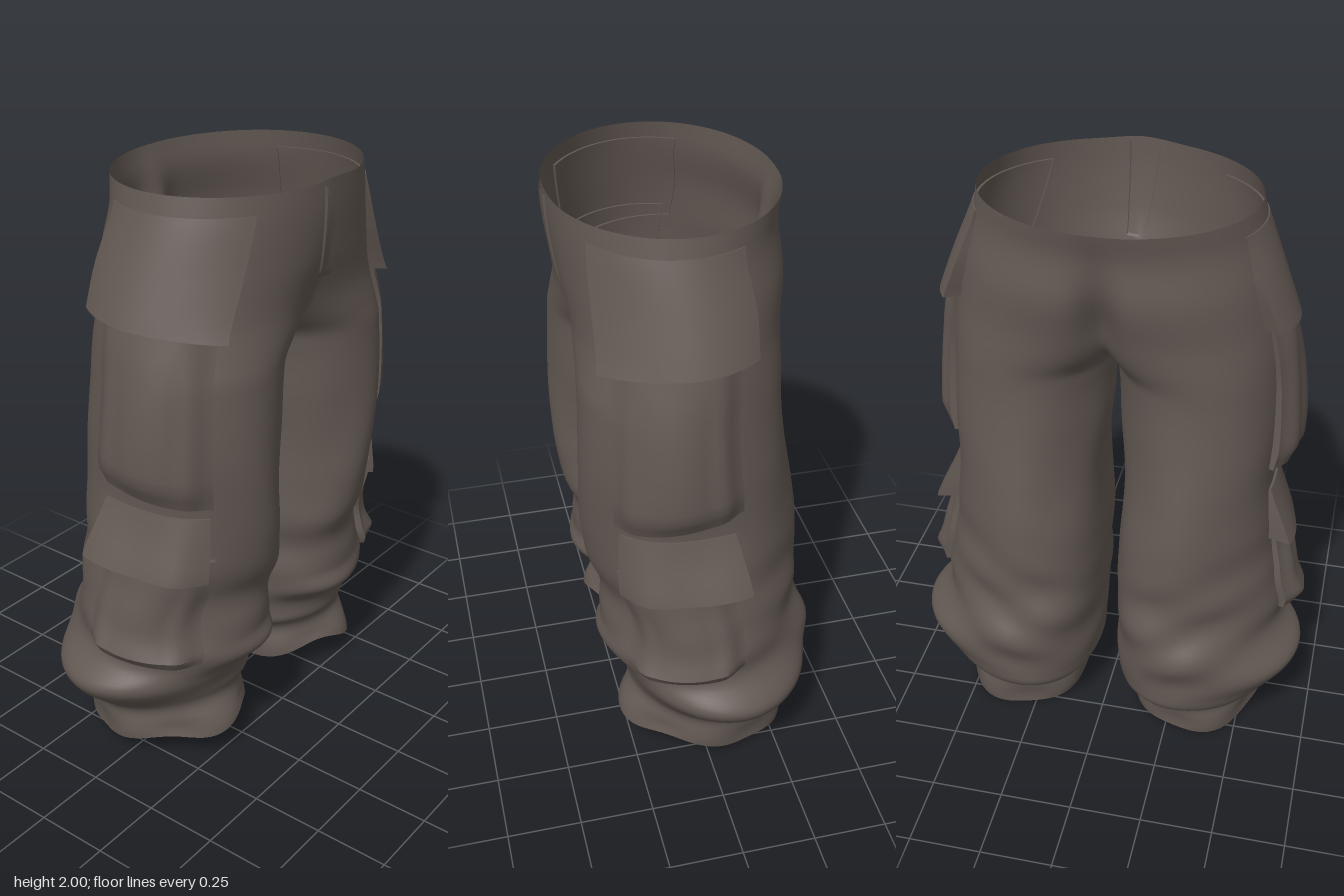
import * as THREE from 'three';
import { mergeVertices, toCreasedNormals } from 'three/addons/utils/BufferGeometryUtils.js';

// Leg sections from hem to waist: y, outer x, inner x, front z, back z.
// A negative inner x means the two halves join at the centre seam.
const SECTIONS = [
  [0, 0.57, 0.085, 0.275, -0.31],
  [0.07, 0.57, 0.08, 0.255, -0.315],
  [0.13, 0.575, 0.075, 0.235, -0.325],
  [0.17, 0.615, 0.04, 0.245, -0.375],
  [0.23, 0.67, 0.035, 0.25, -0.39],
  [0.3, 0.695, 0.03, 0.275, -0.4],
  [0.38, 0.65, 0.03, 0.33, -0.41],
  [0.48, 0.615, 0.03, 0.335, -0.39],
  [0.59, 0.6, 0.025, 0.305, -0.37],
  [0.72, 0.58, 0.025, 0.35, -0.365],
  [0.85, 0.565, 0.035, 0.37, -0.36],
  [1.0, 0.555, 0.04, 0.378, -0.335],
  [1.2, 0.565, 0.02, 0.378, -0.3],
  [1.38, 0.56, 0.006, 0.372, -0.28],
  [1.44, 0.555, -0.01, 0.37, -0.28],
  [1.5, 0.55, -0.08, 0.365, -0.285],
  [1.6, 0.535, -0.2, 0.36, -0.293],
  [1.75, 0.505, -0.35, 0.382, -0.32],
  [1.9, 0.47, -0.43, 0.4, -0.313],
  [1.988, 0.45, -0.45, 0.405, -0.33],
];
const TOP = 1.988, ROWS = 130, COLS = 72;
const sampler = new THREE.CubicInterpolant(
  SECTIONS.map((s) => s[0]), SECTIONS.flatMap((s) => s.slice(1)), 4, new Float32Array(4));

function section(y) {
  const [outer, inner, front, back] = sampler.evaluate(y);
  return { cx: (outer + inner) / 2, rx: (outer - inner) / 2, cz: (front + back) / 2, rz: (front - back) / 2, joined: inner < 0 };
}

const bell = (v, mid, width) => Math.exp(-(((v - mid) / width) ** 2));
const ramp = (v, from, to) => THREE.MathUtils.smoothstep(v, from, to);

// Cloth folds: broad, slanted ones around the shin and faint ones on the thigh
function folds(a, y) {
  const c = Math.cos(a), s = Math.sin(a);
  const shin = bell(y, 0.46, 0.24) * (c < 0 ? 1 - 0.75 * c * c : 1);
  return shin * (0.009 * Math.sin(21 * y + 2.8 * c + 1.6 * s) + 0.007 * Math.sin(34 * y - 3.4 * c + 2 * s * c + 1))
    + 0.004 * bell(y, 1.0, 0.35) * Math.sin(6 * a + 5 * y)
    + 0.012 * bell(y, 0.03, 0.06) * Math.sin(5 * a + 1);
}

// Point on the left leg at angle a (0 = outside, PI/2 = front) and height y
function legPoint(a, y, lift = 0) {
  const { cx, rx, cz, rz } = section(y);
  const r = folds(a, y) + lift;
  const c = Math.cos(a), s = Math.sin(a);
  // Shin and calf swell towards the inside
  const swell = 0.06 * s * s * (1 - ramp(y, 0.6, 1.2)) * ramp(y, 0.08, 0.25);
  const x = cx + rx * c + r * c - swell;
  const z = cz + rz * s + r * s;
  // The lower leg rides up at the front
  const rise = 0.1 * Math.max(0, z + 0.31) / 0.6 * THREE.MathUtils.clamp((0.5 - y) / 0.35, 0, 1);
  const hem = 0.014 * bell(y, 0, 0.06) * (1 + Math.sin(4 * a)) * Math.max(0, s + 0.5);
  return [x, y + rise + hem, z];
}

// Grid of points; f(u, v, j, i) runs u across and v upward, once for each side
function gridGeometry(f, nu, nv, sides) {
  const pos = [], index = [];
  for (const side of sides) {
    const base = pos.length / 3;
    for (let i = 0; i <= nv; i++) {
      for (let j = 0; j <= nu; j++) {
        const [x, y, z] = f(j / nu, i / nv, j, i);
        pos.push(side * x, y, z);
      }
    }
    for (let i = 0; i < nv; i++) {
      for (let j = 0; j < nu; j++) {
        const a = base + i * (nu + 1) + j, b = a + nu + 1;
        if (side > 0) index.push(a, b, b + 1, a, b + 1, a + 1);
        else index.push(a, b + 1, b, a, a + 1, b + 1);
      }
    }
  }
  const g = new THREE.BufferGeometry();
  g.setAttribute('position', new THREE.Float32BufferAttribute(pos, 3));
  g.setIndex(index);
  return g;
}

// Both legs and the seat in one smooth cloth surface
function trousers() {
  const f = (u, v, j) => {
    const y = v * TOP;
    const { cx, rx, cz, joined } = section(y);
    const limit = joined ? Math.acos(Math.max(-1, -cx / rx)) : Math.PI;
    const a = (2 * u - 1) * limit;
    const p = legPoint(a, y);
    p[0] = Math.max(joined ? 0 : 0.006, p[0]);
    if (joined && (j === 0 || j === COLS)) {
      p[0] = 0;
      // Close the seam at the crotch
      if (!section(y - TOP / ROWS).joined) p[2] = cz;
    }
    // Crease down the seat and a slight peak at the front of the waist
    if (a < 0) p[2] += 0.06 * bell(p[0], 0, 0.06) * bell(y, 1.66, 0.18);
    else p[1] += 0.012 * bell(p[0], 0, 0.1) * bell(y, TOP, 0.05);
    return p;
  };
  const g = mergeVertices(gridGeometry(f, COLS, ROWS, [1, -1]), 1e-4);
  g.computeVertexNormals();
  return g;
}

// Raised cloth panel on the outside of the leg with edges that tuck into it
function panel({ back, front, bottom, top, slant, lift }, side) {
  const nu = 24, nv = 20;
  const f = (u, v, j, i) => {
    const edge = j === 0 || j === nu || i === 0 || i === nv;
    const uu = THREE.MathUtils.clamp((j - 1) / (nu - 2), 0, 1);
    const vv = THREE.MathUtils.clamp((i - 1) / (nv - 2), 0, 1);
    const a = THREE.MathUtils.lerp(back, front, uu);
    const y = THREE.MathUtils.lerp(bottom - slant * uu, top, vv);
    return legPoint(a, y, edge ? -0.008 : lift(uu, vv));
  };
  return toCreasedNormals(gridGeometry(f, nu, nv, [side]), 0.75);
}

const pleats = (u) => 0.01 * (bell(u, 0.5, 0.16) - bell(u, 0.26, 0.07) - bell(u, 0.74, 0.07));
// Pockets are puffy: thinner towards their side and bottom edges
const puff = (u, v) => (0.35 + 0.65 * ramp(u, 0, 0.22) * (1 - ramp(u, 0.75, 1))) * (0.6 + 0.4 * ramp(v, 0, 0.12));
const PANELS = {
  upperPocketFlap: {
    back: -0.45, front: 0.9, bottom: 1.62, top: 1.93, slant: 0.045,
    lift: (u, v) => 0.004 + 0.052 * (1 - v) + 0.006 * Math.sin(u * 7) * (1 - v),
  },
  upperPocket: {
    back: -0.36, front: 0.85, bottom: 1.08, top: 1.66, slant: 0.055,
    lift: (u, v) => puff(u, v) * (0.036 + 0.042 * (1 - v) + pleats(u) * Math.sin(Math.PI * Math.min(1, v + 0.15))),
  },
  lowerPocketFlap: {
    back: -0.27, front: 0.82, bottom: 0.79, top: 0.985, slant: 0.03,
    lift: (u, v) => 0.008 + 0.066 * (1 - v) * (1 - 0.5 * ramp(u, 0.7, 1)) + 0.006 * Math.sin(u * 8 + 1) * (1 - v),
  },
  lowerPocket: {
    back: -0.18, front: 0.88, bottom: 0.48, top: 0.83, slant: 0.06,
    lift: (u, v) => puff(u, v) * (0.045 + 0.035 * (1 - v) + pleats(u) * Math.sin(Math.PI * v)),
  },
};

// Fly placket lying on the front of the seat
function fly() {
  const nu = 10, nv = 16;
  const f = (u, v, j, i) => {
    const y = 1.66 + 0.32 * v;
    const x = THREE.MathUtils.lerp(-0.06 * Math.sqrt(v), 0.045, 1 - u);
    const { cx, rx, cz, rz } = section(y);
    const a = Math.acos((Math.abs(x) - cx) / rx);
    const edge = j === 0 || j === nu || i === 0;
    return [x, y, cz + rz * Math.sin(a) + (edge ? -0.004 : 0.006)];
  };
  return toCreasedNormals(gridGeometry(f, nu, nv, [1]), 0.75);
}

export function createModel() {
  const cloth = new THREE.MeshStandardMaterial({ color: 0x625852, side: THREE.DoubleSide });
  cloth.name = 'brownCloth';
  const model = new THREE.Group();
  model.name = 'cargoTrousers';
  const add = (name, geometry) => {
    const mesh = new THREE.Mesh(geometry, cloth);
    mesh.name = name;
    model.add(mesh);
  };
  add('trousers', trousers());
  add('fly', fly());
  for (const [side, label] of [[1, 'left'], [-1, 'right']]) {
    for (const [name, spec] of Object.entries(PANELS)) {
      add(label + name[0].toUpperCase() + name.slice(1), panel(spec, side));
    }
  }
  return model;
}
